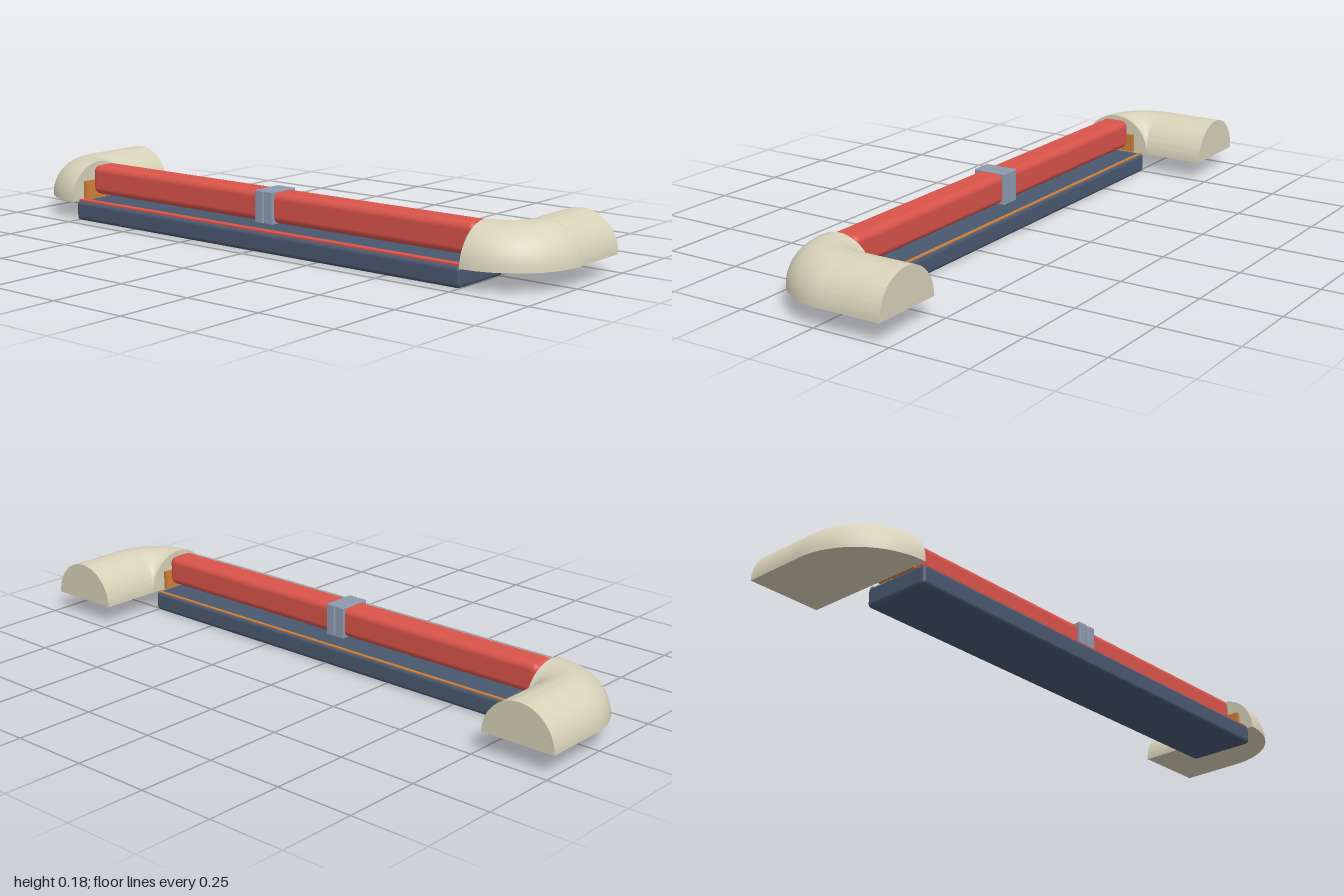
import * as THREE from 'three';
import { toCreasedNormals } from 'three/addons/utils/BufferGeometryUtils.js';
import { RoundedBoxGeometry } from 'three/addons/geometries/RoundedBoxGeometry.js';

const material = (name, color) => {
  const m = new THREE.MeshStandardMaterial({ color });
  m.name = name;
  return m;
};

export function createModel() {
  const slate = material('slate', 0x4a5870);
  const red = material('red', 0xd9544a);
  const cream = material('cream', 0xd8d2ba);
  const steel = material('steel', 0x8d9bb0);
  const orange = material('orange', 0xd08038);
  const model = new THREE.Group();
  model.name = 'gripHandle';

  const add = (name, geometry, mat, x = 0, y = 0, z = 0, parent = model) => {
    const mesh = new THREE.Mesh(geometry, mat);
    mesh.name = name;
    mesh.position.set(x, y, z);
    parent.add(mesh);
    return mesh;
  };

  // Base tray with its coloured strips
  add('baseTray', new RoundedBoxGeometry(1.51, 0.062, 0.223, 4, 0.012), slate, 0, 0.031, 0.0985);
  add('frontStrip', new THREE.BoxGeometry(1.5, 0.012, 0.025), red, 0, 0.061, 0.188);
  add('backStrip', new THREE.BoxGeometry(1.5, 0.006, 0.01), orange, 0, 0.061, -0.002);

  // Grip bar
  add('gripBar', new RoundedBoxGeometry(1.505, 0.095, 0.092, 4, 0.022), red, 0, 0.1245, 0.093);

  // Centre clip: two bands over a recessed core
  add('clipCore', new THREE.BoxGeometry(0.05, 0.096, 0.1), steel, 0, 0.124, 0.094);
  for (const side of [-1, 1]) {
    add('clipBand', new RoundedBoxGeometry(0.032, 0.101, 0.11, 2, 0.003), steel, side * 0.0185, 0.1245, 0.094);
  }

  // Half-round elbows, turning about their inner edge
  const r = 0.12, bottom = 0.06, pivotX = 0.76, pivotZ = -0.02;
  const halfRound = new THREE.Shape();
  halfRound.absarc(0, 0, r, 0, Math.PI, false);
  halfRound.closePath();
  const arc = [];
  for (let i = 0; i <= 24; i++) {
    const a = (i / 24) * Math.PI;
    arc.push(new THREE.Vector2(Math.max(0, r + r * Math.cos(a)), r * Math.sin(a)));
  }
  for (const side of [-1, 1]) {
    const elbow = new THREE.Group();
    elbow.name = side > 0 ? 'leftElbow' : 'rightElbow';
    model.add(elbow);

    const leg = toCreasedNormals(new THREE.ExtrudeGeometry(halfRound, { depth: 0.2, bevelEnabled: false, curveSegments: 24 }), 0.6);
    add('straightLeg', leg, cream, side * (pivotX + r), bottom, -0.22, elbow);

    const bend = new THREE.LatheGeometry(arc, 24, side > 0 ? 0 : -Math.PI / 2, Math.PI / 2);
    add('bend', bend, cream, side * pivotX, bottom, pivotZ, elbow);

    const floor = new THREE.CircleGeometry(2 * r, 24, side > 0 ? 0 : Math.PI / 2, Math.PI / 2);
    add('bendFloor', floor.rotateX(Math.PI / 2), cream, side * pivotX, bottom, pivotZ, elbow);

    const cap = new THREE.ShapeGeometry(halfRound, 24).rotateY(-side * Math.PI / 2);
    add('innerCap', cap, cream, side * pivotX, bottom, pivotZ + r, elbow);

    // Joint plate between the elbow and the bar
    add('jointPlate', new THREE.BoxGeometry(0.012, 0.06, 0.14), orange, side * 0.754, 0.092, 0.1, elbow);
  }
  return model;
}
